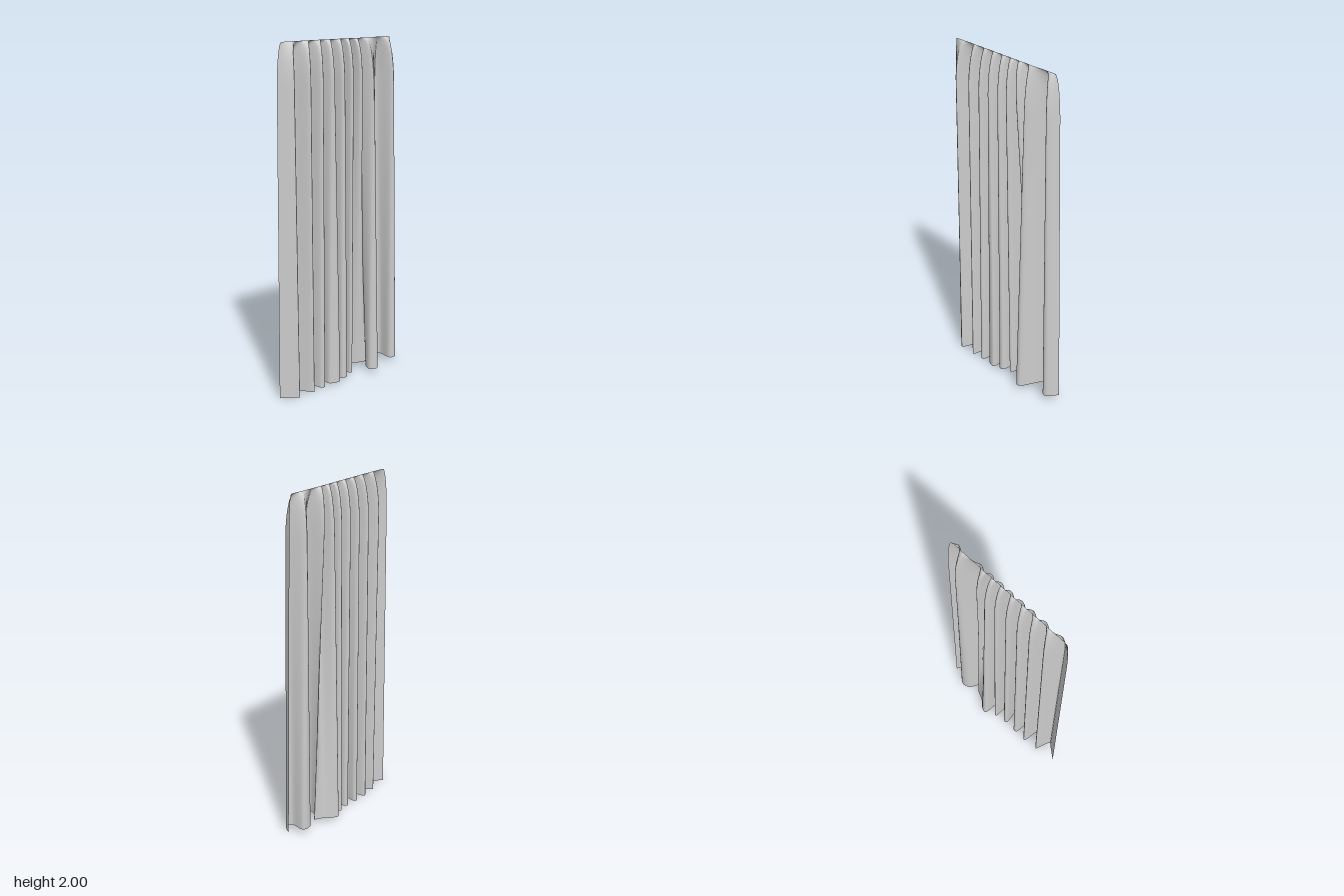
import * as THREE from 'three';

// Pleat crests from front to back, alternating +x and -x.
// Each crest is a short flat: [x, z] start and end at the hem, then z at the heading.
const crests = [
  [0.04, 0.38, 0.055, 0.35, 0.36],
  [-0.02, 0.32, -0.028, 0.305, 0.305],
  [0.048, 0.26, 0.048, 0.24, 0.25],
  [-0.036, 0.225, -0.036, 0.205, 0.21],
  [0.042, 0.185, 0.042, 0.155, 0.165],
  [-0.036, 0.145, -0.036, 0.115, 0.13],
  [0.036, 0.115, 0.056, 0.05, 0.09],
  [-0.036, 0.055, -0.036, 0.025, 0.055],
  [0.036, 0.02, 0.036, -0.02, 0.015],
  [-0.053, -0.025, -0.045, -0.05, -0.02],
  [0.02, -0.055, 0.01, -0.08, -0.05],
  [-0.085, -0.09, -0.088, -0.125, -0.085],
  [-0.05, -0.17, -0.035, -0.2, -0.115],
  [-0.018, -0.23, 0.01, -0.19, -0.15],
  [0.07, -0.17, 0.088, -0.22, -0.2],
  [-0.042, -0.29, -0.048, -0.36, -0.295],
  [0.035, -0.36, 0.05, -0.4, -0.35],
];
const HEADING_DEPTH = 0.04, HEADING_FLAT = 0.01;
const SEG_U = 216, SEG_V = 36;

// Smooth line through the crests, closed off by the two side edges
function pleatLine(frontZ, backZ, crestPoints) {
  const points = [[-0.01, frontZ], ...crests.flatMap(crestPoints), [-0.012, backZ]];
  return new THREE.CatmullRomCurve3(
    points.map(([x, z]) => new THREE.Vector3(x, 0, z)), false, 'catmullrom', 0.5);
}

export function createModel() {
  const group = new THREE.Group();
  const hem = pleatLine(0.445, -0.445, ([x0, z0, x1, z1]) => [[x0, z0], [x1, z1]]);
  const heading = pleatLine(0.425, -0.385, (crest, k) => {
    const x = k % 2 ? -HEADING_DEPTH : HEADING_DEPTH;
    return [[x, crest[4] + HEADING_FLAT], [x, crest[4] - HEADING_FLAT]];
  });

  const geo = new THREE.PlaneGeometry(1, 1, SEG_U, SEG_V);
  const pos = geo.attributes.position;
  for (let i = 0; i <= SEG_U; i++) {
    const u = i / SEG_U;
    const a = hem.getPoint(u), b = heading.getPoint(u);
    // The hem lifts gently towards the back
    const bottom = 0.037 * THREE.MathUtils.smoothstep(-a.z, -0.32, 0.45);
    const top = 2 - 0.012 * u;
    for (let j = 0; j <= SEG_V; j++) {
      // Rows crowd together near the heading
      const v = 1 - Math.pow(1 - j / SEG_V, 2);
      const y = THREE.MathUtils.lerp(bottom, top, v);
      // Folds close up into a straight gathered line at the top
      const d = THREE.MathUtils.clamp((top - y) / 0.24, 0, 1);
      const open = Math.sqrt(d * (2 - d));
      const x = THREE.MathUtils.lerp(a.x, b.x, v) * open;
      // The side edges round inwards at the top corners
      const z = THREE.MathUtils.lerp(a.z, b.z, v);
      const zRounded = 0.025 + (z - 0.025) * (1 - 0.06 * (1 - open));
      pos.setXYZ((SEG_V - j) * (SEG_U + 1) + i, x, y, zRounded);
    }
  }
  geo.computeVertexNormals();

  const curtain = new THREE.Mesh(
    geo,
    new THREE.MeshStandardMaterial({ color: 0xcccccc, side: THREE.DoubleSide })
  );
  curtain.name = 'curtain';
  group.add(curtain);
  return group;
}
